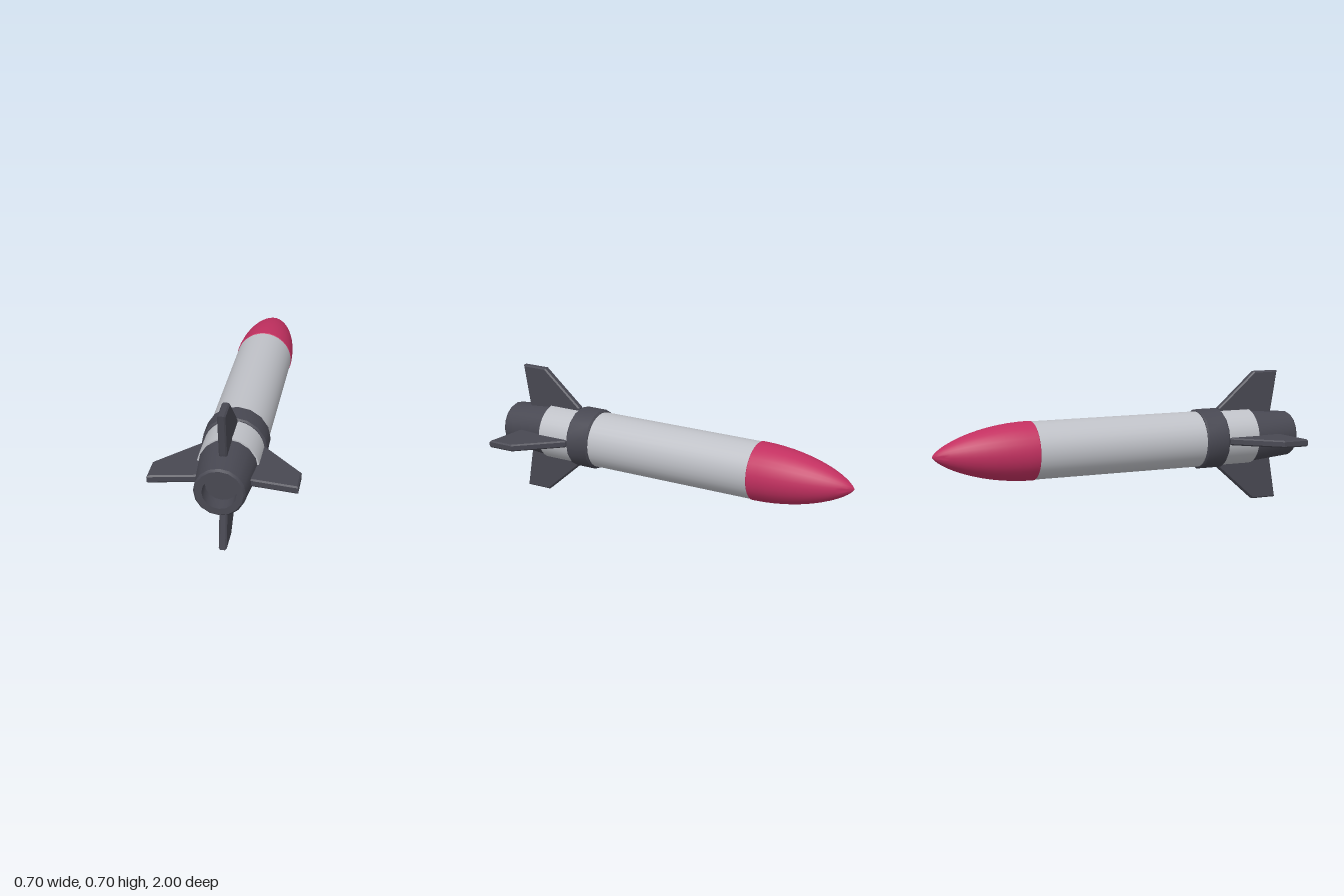
import * as THREE from 'three';
import { toCreasedNormals } from 'three/addons/utils/BufferGeometryUtils.js';

const AXIS_Y = 0.35;

const paint = (name, color) => {
  const m = new THREE.MeshStandardMaterial({ color });
  m.name = name;
  return m;
};

// Turned part: profile of [radius, z], listed from the tail (+z) to the nose (-z)
function turned(name, profile, sides, material) {
  const points = profile.map(([r, z]) => new THREE.Vector2(r, -z));
  const geometry = new THREE.LatheGeometry(points, sides).rotateX(-Math.PI / 2);
  const mesh = new THREE.Mesh(toCreasedNormals(geometry, 0.5), material);
  mesh.name = name;
  return mesh;
}

export function createModel() {
  const white = paint('light grey', 0xbfc1c7);
  const dark = paint('charcoal', 0x484852);
  const red = paint('crimson', 0xc23060);

  const rocket = new THREE.Group();
  rocket.name = 'rocket';
  rocket.position.y = AXIS_Y;

  // Main tube
  rocket.add(turned('body', [
    [0, 0.75], [0.148, 0.75], [0.148, -0.49], [0, -0.49],
  ], 32, white));

  // Nose cone with a slightly rounded base edge
  const nose = [[0, -0.48], [0.144, -0.48], [0.151, -0.487]];
  const steps = 14;
  for (let i = 1; i <= steps; i++) {
    const t = Math.sin((i / steps) * Math.PI / 2);
    nose.push([0.151 * Math.pow(Math.max(0, 1 - t * t), 0.72), -0.487 - 0.513 * t]);
  }
  rocket.add(turned('noseCone', nose, 32, red));

  // Chamfered collar in front of the fins
  rocket.add(turned('collar', [
    [0.13, 0.57], [0.153, 0.57], [0.161, 0.562], [0.161, 0.448], [0.153, 0.44], [0.13, 0.44],
  ], 16, dark));

  // Tapered nozzle with a recessed mouth
  rocket.add(turned('nozzle', [
    [0, 0.92], [0.08, 0.92], [0.08, 1], [0.112, 1], [0.121, 0.988], [0.142, 0.75], [0.1, 0.74],
  ], 16, dark));

  // Fin outline: x is -z along the rocket, y is the distance from the axis
  const outline = new THREE.Shape([
    [-0.88, 0.1], [-0.57, 0.1], [-0.57, 0.16], [-0.785, 0.35], [-0.925, 0.35], [-0.89, 0.14],
  ].map(([x, y]) => new THREE.Vector2(x, y)).reverse());
  const bevel = 0.007;
  const finGeometry = new THREE.ExtrudeGeometry(outline, {
    depth: 0.038 - 2 * bevel,
    bevelEnabled: true,
    bevelSegments: 1,
    bevelThickness: bevel,
    bevelSize: bevel,
    bevelOffset: -bevel,
  });
  finGeometry.translate(0, 0, bevel - 0.019).rotateY(Math.PI / 2);

  for (let i = 0; i < 4; i++) {
    const fin = new THREE.Mesh(finGeometry, dark);
    fin.name = ['topFin', 'rightFin', 'bottomFin', 'leftFin'][i];
    fin.rotation.z = i * Math.PI / 2;
    rocket.add(fin);
  }

  const model = new THREE.Group();
  model.add(rocket);
  return model;
}
